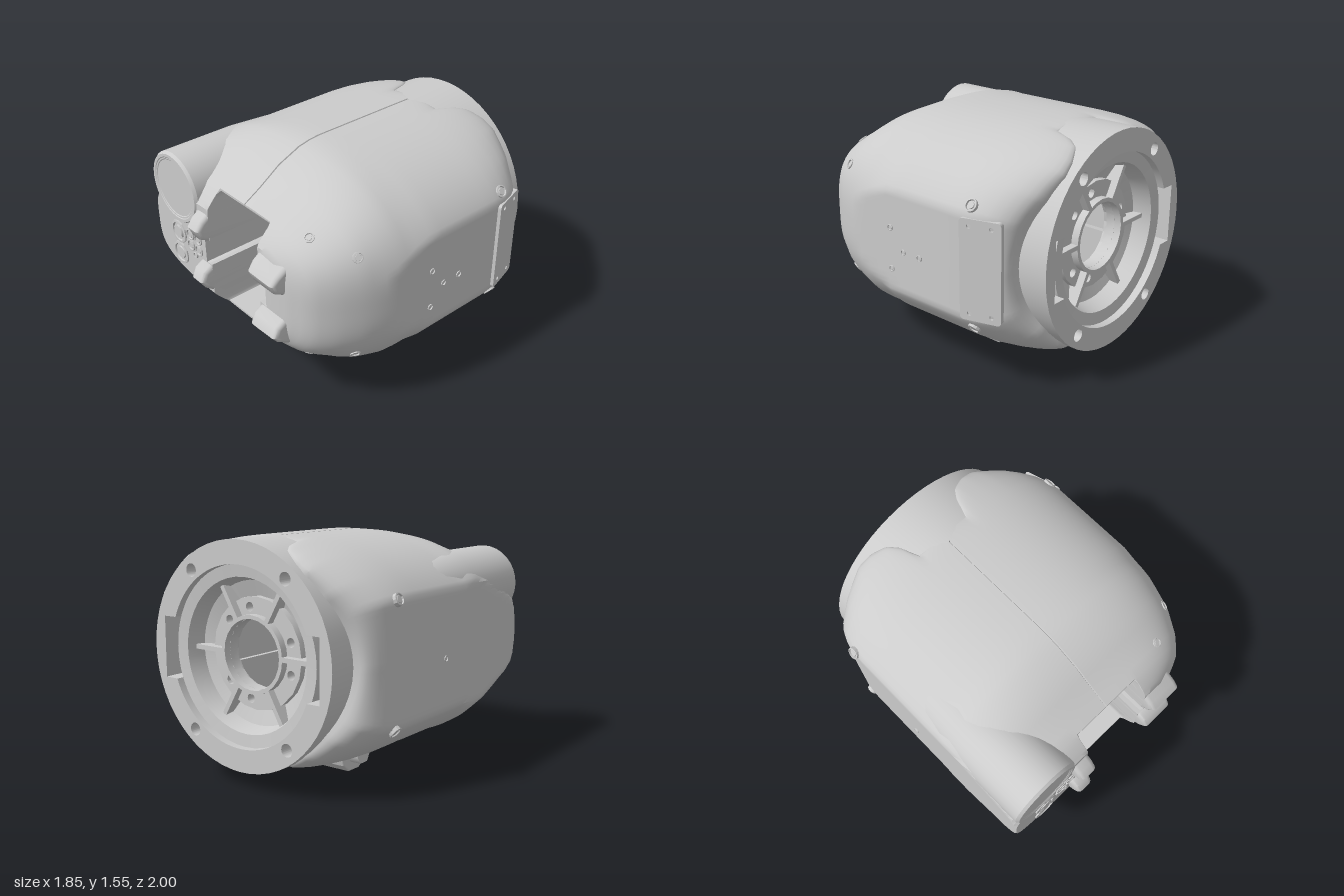
import * as THREE from 'three';
import { toCreasedNormals } from 'three/addons/utils/BufferGeometryUtils.js';

const CX = -0.02, CY = 0.83;
const material = new THREE.MeshStandardMaterial({ color: 0xcccccc, side: THREE.DoubleSide });

// piecewise linear lookup
function lookup(table, v) {
  if (v <= table[0][0]) return table[0][1];
  for (let i = 1; i < table.length; i++) {
    const [a, p] = table[i - 1], [b, q] = table[i];
    if (v <= b) return p + (q - p) * (v - a) / (b - a);
  }
  return table[table.length - 1][1];
}

// casing section at depth z: half height, half widths and squareness
const HEIGHT = [[0.2, 0.72], [0.28, 0.712], [0.36, 0.695], [0.52, 0.627], [0.68, 0.52], [0.8, 0.45], [0.87, 0.38], [0.91, 0.33]];
const LEFT = [[0.1, 1.0], [0.35, 0.94], [0.6, 0.85], [0.75, 0.76], [0.85, 0.66], [0.91, 0.5]];
const RIGHT = [[0.3, 1.0], [0.87, 0.92], [0.91, 0.885]];
const SQUARE = [[0.2, 2.3], [0.9, 3.6]];
const REAR = [[0, -0.66], [0.215, -0.67], [0.23, -0.78], [0.3, -0.88], [0.4, -0.93], [0.48, -0.945], [0.6, -0.9], [0.725, -0.8]];

function casingRadius(phi, z) {
  const c = Math.abs(Math.cos(phi)), s = Math.abs(Math.sin(phi)), n = lookup(SQUARE, z);
  const left = Math.cos(phi) > 0;
  const w = lookup(left ? LEFT : RIGHT, z), h = lookup(HEIGHT, z);
  const r = Math.pow(Math.pow(c / w, n) + Math.pow(s / h, n), -1 / n);
  return Math.min(r, (left ? 0.92 : 0.887) / Math.max(c, 1e-6));
}

// x distance of the casing flank from its axis
function flank(y, z, side) {
  const n = lookup(SQUARE, z), k = Math.abs(y - CY) / lookup(HEIGHT, z);
  const w = lookup(side > 0 ? LEFT : RIGHT, z);
  return Math.min(w * Math.pow(Math.max(0, 1 - Math.pow(k, n)), 1 / n), side > 0 ? 0.92 : 0.887);
}

// rectangular tunnel with a shallow notch on each side
function tunnelRadius(phi) {
  const c = Math.abs(Math.cos(phi)), s = Math.abs(Math.sin(phi));
  if (s / c < 0.33) return 0.32 / c;
  return Math.min(0.26 / Math.max(c, 1e-6), 0.435 / Math.max(s, 1e-6));
}

// foremost depth of the casing along one direction
function noseEnd(phi) {
  if (Math.abs(Math.cos(phi)) < 0.501) return 0.8;
  let z = 0.91;
  while (z > 0.8 && casingRadius(phi, z) < tunnelRadius(phi)) z -= 0.005;
  return z;
}

function buildCasing() {
  const angles = [];
  for (let d = 0; d < 360; d += 2) {
    if (d % 180 === 90) angles.push(d - 0.5, d, d + 0.5);
    else angles.push(d);
  }
  const rings = [];
  const ring = f => rings.push(angles.map(d => {
    const phi = d * Math.PI / 180;
    const [r, z, outer] = f(phi);
    const groove = outer && d % 180 === 90 ? 0.015 : 0; // centre seam
    let y = CY + (r - groove) * Math.sin(phi);
    // channel across the underside
    const q = 0.0169 - (z + 0.27) ** 2;
    if (outer && y < CY && q >= 0) y = Math.max(y, 0.14 + Math.sqrt(q));
    return [CX + (r - groove) * Math.cos(phi), y, z];
  }));
  // rounded tail
  const tail = (phi, s) => {
    const full = casingRadius(phi, -0.5), mix = 0.7 + 0.3 * Math.abs(Math.sin(phi));
    const zr = lookup(REAR, Math.abs(Math.cos(phi)) * 0.725);
    return [full + (0.715 - full) * mix * (1 - Math.sqrt(1 - s * s)), -0.5 + (zr + 0.5) * s, true];
  };
  ring(phi => [0.68, tail(phi, 1)[1], false]);
  for (const s of [1, 0.98, 0.93, 0.85, 0.72, 0.55, 0.3]) ring(phi => tail(phi, s));
  // flanks and nose
  for (const z of [-0.5, -0.402, -0.4, -0.385, -0.35, -0.31, -0.27, -0.23, -0.19, -0.155, -0.14, -0.138,
    0, 0.1, 0.2, 0.28, 0.36, 0.44, 0.52, 0.6, 0.68, 0.74, 0.8, 0.84, 0.87, 0.89, 0.91]) {
    ring(phi => {
      const zz = Math.min(z, noseEnd(phi));
      return [casingRadius(phi, zz), zz, true];
    });
  }
  // inner tunnel
  ring(phi => [tunnelRadius(phi), noseEnd(phi), false]);
  ring(phi => [tunnelRadius(phi), -0.75, false]);

  const n = angles.length, index = [];
  for (let i = 0; i < rings.length - 1; i++) for (let j = 0; j < n; j++) {
    const a = i * n + j, b = i * n + (j + 1) % n;
    index.push(a, b, a + n, b, b + n, a + n);
  }
  const g = new THREE.BufferGeometry();
  g.setAttribute('position', new THREE.Float32BufferAttribute(rings.flat(2), 3));
  g.setIndex(index);
  return toCreasedNormals(g, 0.6);
}

function add(parent, name, geometry, x = 0, y = 0, z = 0) {
  const mesh = new THREE.Mesh(geometry, material);
  mesh.name = name;
  mesh.position.set(x, y, z);
  parent.add(mesh);
  return mesh;
}

// extrude a (z, y) outline across x
function extrudeX(points, x0, x1, bevel) {
  const shape = new THREE.Shape(points.map(p => new THREE.Vector2(...p)));
  const g = new THREE.ExtrudeGeometry(shape, {
    depth: x1 - x0 - 2 * bevel, bevelEnabled: true, bevelSize: bevel, bevelThickness: bevel,
    bevelOffset: -bevel, bevelSegments: 4
  });
  return g.rotateY(-Math.PI / 2).translate(x1 - bevel, 0, 0);
}

function latheZ(points, segments) {
  const g = new THREE.LatheGeometry(points.map(p => new THREE.Vector2(...p)), segments).rotateX(Math.PI / 2);
  return toCreasedNormals(g, 0.5);
}

function circle(x, y, r) {
  return new THREE.Path().absarc(x, y, r, 0, Math.PI * 2, true);
}

function slab(shape, depth, segments) {
  return new THREE.ExtrudeGeometry(shape, { depth, bevelEnabled: false, curveSegments: segments });
}

// sunken round socket with a raised rim, facing +z
function socket(r) {
  return latheZ([[0, 0.003], [r * 0.5, 0.003], [r * 0.55, -0.003], [r * 0.75, -0.003], [r * 0.8, 0.008], [r, 0.006], [r, -0.03]], 12);
}

function roundedPlate(w, h, r, depth) {
  const s = new THREE.Shape(), x = w / 2, y = h / 2;
  s.absarc(x - r, y - r, r, 0, Math.PI / 2).absarc(r - x, y - r, r, Math.PI / 2, Math.PI);
  s.absarc(r - x, r - y, r, Math.PI, Math.PI * 1.5).absarc(x - r, r - y, r, Math.PI * 1.5, Math.PI * 2);
  for (const i of [-1, 1]) for (const j of [-1, 1]) s.holes.push(circle(i * w * 0.27, j * h * 0.43, 0.014));
  return slab(s, depth, 8);
}

export function createModel() {
  const model = new THREE.Group();
  model.name = 'cameraHousing';
  add(model, 'casing', buildCasing());

  // cowl prongs either side of the front slot, above and below
  const prong = [[0.4, 1.46], [0.52, 1.44], [0.68, 1.33], [0.8, 1.22], [0.88, 1.14], [0.96, 1.08], [1.0, 1.02], [0.97, 0.95], [0.9, 0.91], [0.4, 0.91]];
  for (const [x0, x1, name] of [[0.24, 0.49, 'leftProng'], [-0.41, -0.28, 'rightProng']]) {
    const g = extrudeX(prong, x0, x1, 0.03), p = g.attributes.position;
    for (let i = 0; i < p.count; i++) { // fall away towards the outer edge
      const t = Math.max(0, (Math.abs(p.getX(i) - CX) - 0.26) / 0.25), y = p.getY(i);
      if (y > 1) p.setY(i, y - 0.25 * t * t * (y - 1));
    }
    const smooth = toCreasedNormals(g, 0.7);
    add(model, name + 'Upper', smooth);
    add(model, name + 'Lower', smooth, 0, 1.64, 0).scale.y = -1;
  }

  // lens pod, tapering back into the casing
  add(model, 'lensPod', latheZ([[0, -0.35], [0.2, -0.2], [0.235, 0.05], [0.255, 0.35], [0.255, 0.9], [0.24, 0.92], [0.22, 0.92], [0.215, 0.916], [0.205, 0.916], [0.2, 0.912], [0, 0.912]], 32), -0.65, 1.16, 0);

  // front panel controls
  const controls = [[-0.65, 0.82, 0.085], [-0.65, 0.65, 0.085], [-0.465, 0.925, 0.022], [-0.465, 0.72, 0.022]];
  for (const x of [-0.51, -0.42]) for (const y of [0.78, 0.865]) controls.push([x, y, 0.042]);
  for (const [x, y, r] of controls) add(model, 'panelSocket', socket(r), x, y, 0.914);
  add(model, 'panelKnob', new THREE.CylinderGeometry(0.05, 0.055, 0.04, 6).rotateX(Math.PI / 2), -0.65, 0.82, 0.905);

  // flank fasteners
  const screws = [[0.73, 1.27, 0.033], [0.575, 1.19, 0.035], [0.73, 0.38, 0.033], [0.575, 0.45, 0.035], [-0.58, 1.22, 0.042], [-0.58, 0.42, 0.042],
    [0.07, 0.92, 0.022], [0.07, 0.64, 0.022], [-0.04, 0.78, 0.02], [-0.18, 0.78, 0.022]];
  const screw = (side, z, y, r) => {
    const e = 0.01, f = (v, w) => flank(v, w, side);
    const normal = new THREE.Vector3(side, -(f(y + e, z) - f(y - e, z)) / (2 * e), -(f(y, z + e) - f(y, z - e)) / (2 * e)).normalize();
    const m = add(model, 'flankScrew', socket(r), CX + side * f(y, z), y, z);
    m.quaternion.setFromUnitVectors(new THREE.Vector3(0, 0, 1), normal);
  };
  for (const [z, y, r] of screws) screw(1, z, y, r);
  for (const [z, y, r] of [screws[4], screws[5], screws[8]]) screw(-1, z, y, r);

  // cover plates
  const cover = add(model, 'sideCover', roundedPlate(0.27, 0.65, 0.025, 0.05), 0.834, 0.825, -0.646);
  cover.rotation.y = Math.PI / 2 + 0.28;
  const chin = add(model, 'chinPlate', roundedPlate(0.28, 0.36, 0.03, 0.05), CX, 0.232, 0.465);
  chin.rotation.x = 1.13;

  // crossbar under the casing with end nuts
  const bar = [[-0.4, 0.12], [-0.38, 0.05], [-0.32, 0], [-0.21, 0], [-0.15, 0.04], [-0.125, 0.11], [-0.2, 0.2], [-0.34, 0.2]];
  add(model, 'crossbar', toCreasedNormals(extrudeX(bar, -0.36, 0.32, 0.01), 0.4));
  add(model, 'crossbarBolt', new THREE.CylinderGeometry(0.075, 0.075, 0.83, 6).rotateZ(Math.PI / 2), -0.025, 0.13, -0.27);

  // rear mounting flange with a window notch on each side
  const rear = new THREE.Group();
  rear.name = 'rearMount';
  rear.position.set(CX, CY, 0);
  model.add(rear);
  const flange = new THREE.Shape().absarc(0, 0, 0.72, 0, Math.PI * 2);
  const opening = new THREE.Path().absarc(0, 0, 0.57, 0.36, Math.PI - 0.36);
  opening.lineTo(-0.63, 0.2).lineTo(-0.63, -0.2).absarc(0, 0, 0.57, Math.PI + 0.36, Math.PI * 2 - 0.36);
  opening.lineTo(0.63, -0.2).lineTo(0.63, 0.2).closePath();
  flange.holes.push(opening);
  for (const i of [-1, 1]) for (const j of [-1, 1]) flange.holes.push(circle(i * 0.38, j * 0.51, 0.042));
  add(rear, 'flange', toCreasedNormals(slab(flange, 0.4, 28), 0.5), 0, 0, -1);
  add(rear, 'dish', latheZ([[0.64, -0.82], [0.57, -0.82], [0.57, -0.95], [0.49, -0.94], [0.46, -0.82], [0.34, -0.78]], 48));

  // hub and tunnel end plate share the bore and bolt holes
  const bores = [circle(0, 0, 0.225)];
  for (const d of [41, 80, 160, 200, 280, 319]) {
    const a = d * Math.PI / 180;
    bores.push(circle(0.295 * Math.cos(a), 0.295 * Math.sin(a), 0.03));
  }
  const hub = new THREE.Shape().absarc(0, 0, 0.36, 0, Math.PI * 2);
  const end = new THREE.Shape([[-0.34, -0.46], [0.34, -0.46], [0.34, 0.46], [-0.34, 0.46]].map(p => new THREE.Vector2(...p)));
  hub.holes = bores;
  end.holes = bores;
  add(rear, 'hub', toCreasedNormals(slab(hub, 0.07, 10), 0.7), 0, 0, -0.83);
  add(rear, 'hubCollar', latheZ([[0.225, -0.77], [0.225, -0.88], [0.25, -0.88], [0.25, -0.8]], 24));
  add(rear, 'tunnelEndPlate', slab(end, 0.02, 10), 0, 0, -0.77);
  for (let i = 0; i < 6; i++) {
    const a = i * Math.PI / 3;
    const rib = add(rear, 'rib', new THREE.BoxGeometry(0.25, 0.03, 0.1), 0.365 * Math.cos(a), 0.365 * Math.sin(a), -0.83);
    rib.rotation.z = a;
  }
  return model;
}
